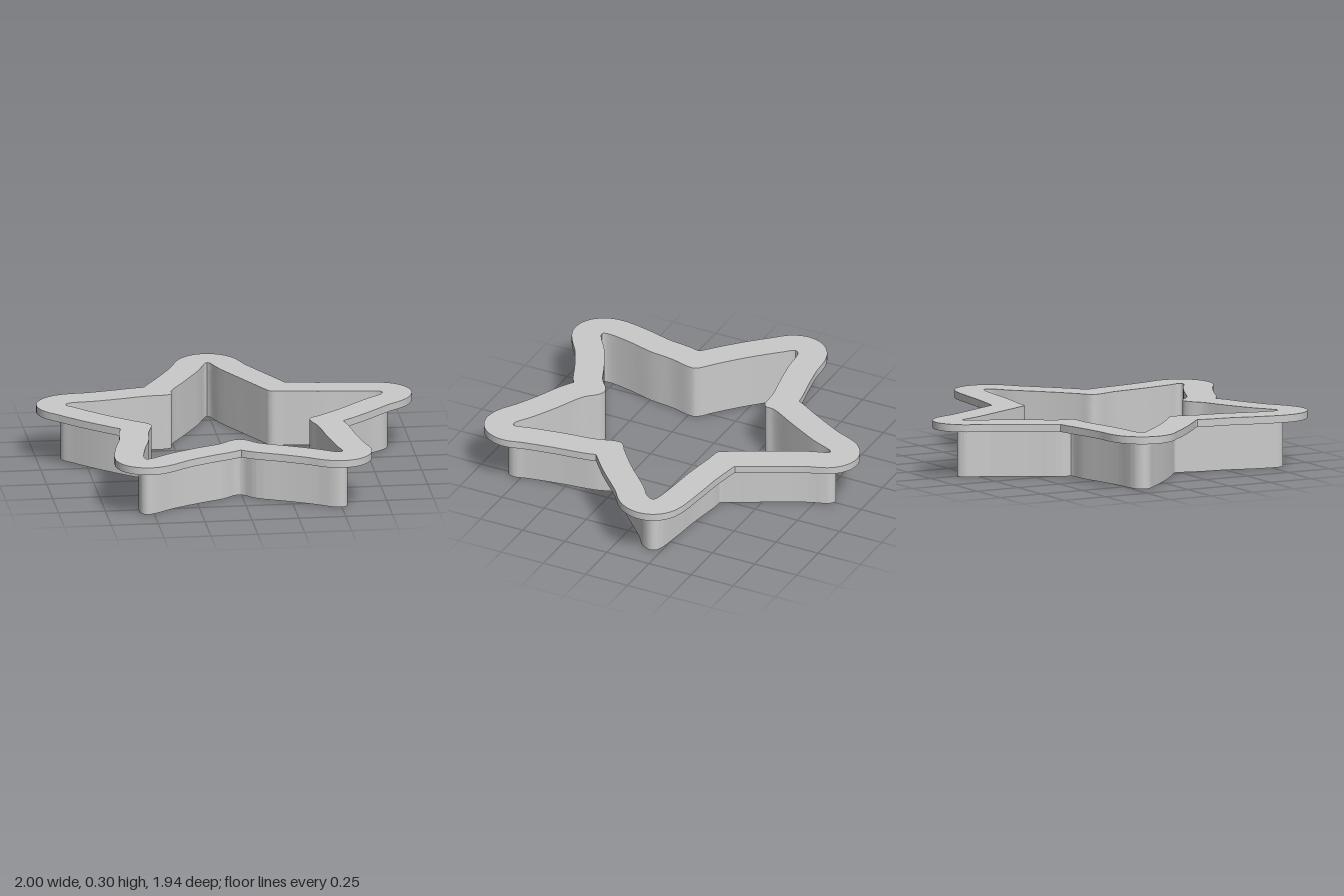
import * as THREE from 'three';
import { toCreasedNormals } from 'three/addons/utils/BufferGeometryUtils.js';

// Inner star opening, seen from above: x, z pairs, clockwise from the back tip
const STAR = [
  -0.01, -0.815, 0.04, -0.70, 0.165, -0.455, 0.235, -0.32, 0.26, -0.282, 0.335, -0.272, 0.51, -0.245, 0.67, -0.23,
  0.835, -0.205, 0.845, -0.19, 0.83, -0.155, 0.755, -0.095, 0.595, 0.06, 0.47, 0.165, 0.41, 0.21, 0.405, 0.25,
  0.435, 0.35, 0.46, 0.535, 0.495, 0.73, 0.51, 0.79, 0.50, 0.81, 0.47, 0.805, 0.39, 0.755, 0.245, 0.68,
  0.085, 0.605, 0.025, 0.545, -0.015, 0.53, -0.055, 0.545, -0.12, 0.595, -0.235, 0.645, -0.395, 0.725, -0.50, 0.797,
  -0.535, 0.81, -0.547, 0.785, -0.525, 0.64, -0.487, 0.495, -0.47, 0.36, -0.44, 0.23, -0.45, 0.20, -0.53, 0.135,
  -0.665, 0.015, -0.795, -0.12, -0.845, -0.18, -0.825, -0.205, -0.69, -0.22, -0.555, -0.243, -0.395, -0.275, -0.29, -0.282,
  -0.267, -0.298, -0.26, -0.35, -0.18, -0.49, -0.075, -0.68,
];
const corners = [];
for (let i = 0; i < STAR.length; i += 2) corners.push(new THREE.Vector3(STAR[i], -STAR[i + 1], 0));
const star = new THREE.CatmullRomCurve3(corners, true, 'centripetal')
  .getPoints(corners.length * 4).slice(0, -1).map((p) => new THREE.Vector2(p.x, p.y));
const at = (i) => star[(i + star.length) % star.length];

// Distance from a point to the star line
function distanceToStar(p) {
  let best = Infinity;
  star.forEach((a, i) => {
    const ab = at(i + 1).clone().sub(a);
    const t = THREE.MathUtils.clamp(p.clone().sub(a).dot(ab) / ab.lengthSq(), 0, 1);
    best = Math.min(best, a.clone().addScaledVector(ab, t).distanceTo(p));
  });
  return best;
}

// Star grown outward by d: rounded tips, sharp notches
function grownStar(d) {
  const points = [];
  const normalAngle = (i) => {
    const e = at(i + 1).clone().sub(at(i));
    return Math.atan2(e.x, -e.y);
  };
  const add = (base, angle) =>
    points.push(new THREE.Vector2(base.x + d * Math.cos(angle), base.y + d * Math.sin(angle)));
  star.forEach((a, i) => {
    const angle = normalAngle(i);
    const before = normalAngle(i - 1);
    const turn = Math.atan2(Math.sin(angle - before), Math.cos(angle - before));
    // arc around an outward corner
    if (turn < 0) {
      const steps = Math.ceil(-turn / 0.15);
      for (let k = 0; k < steps; k++) add(a, before + turn * (k + 0.5) / steps);
    }
    // straight run along the edge
    const b = at(i + 1);
    const n = Math.ceil(a.distanceTo(b) / 0.01);
    for (let k = 0; k < n; k++) add(a.clone().lerp(b, (k + 0.5) / n), angle);
  });
  return points.filter((p) => distanceToStar(p) > d - 1e-5);
}

// Upright ring between the star opening and a grown outline
function ring(name, grow, bottom, height, material) {
  const shape = new THREE.Shape(grownStar(grow));
  // the hole runs against the outline so its walls face inward
  shape.holes.push(new THREE.Path([...star].reverse()));
  let geometry = new THREE.ExtrudeGeometry(shape, { depth: height, bevelEnabled: false });
  geometry.rotateX(-Math.PI / 2);
  geometry.translate(0, bottom, 0);
  geometry = toCreasedNormals(geometry, 0.5);
  const mesh = new THREE.Mesh(geometry, material);
  mesh.name = name;
  return mesh;
}

export function createModel() {
  const grey = new THREE.MeshStandardMaterial({ color: 0xcacaca });
  grey.name = 'grey';
  const group = new THREE.Group();
  group.name = 'starCutter';
  group.add(ring('cuttingWall', 0.027, 0, 0.26, grey));
  group.add(ring('topFlange', 0.156, 0.26, 0.04, grey));
  return group;
}
